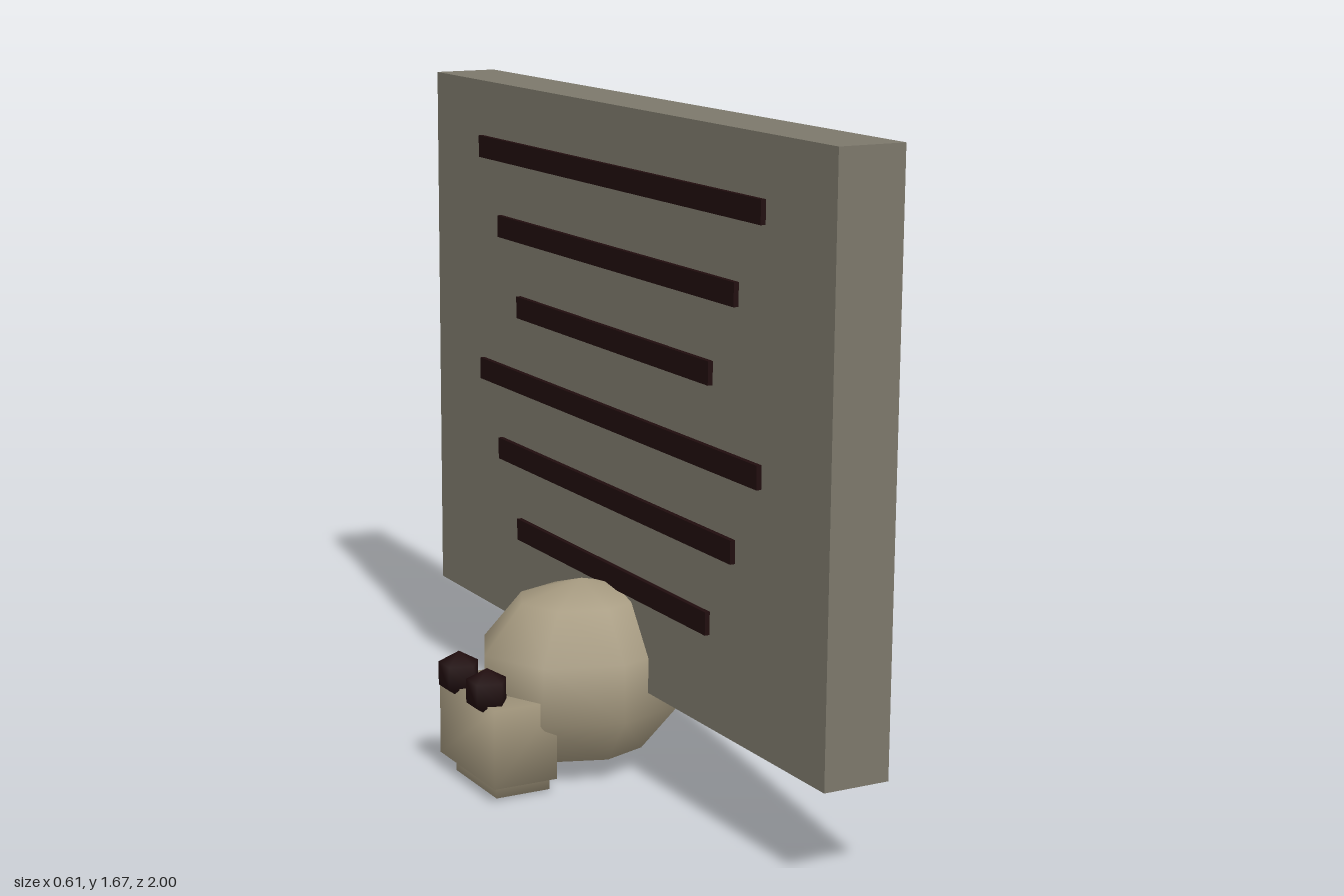
import * as THREE from 'three';
import { mergeVertices } from 'three/addons/utils/BufferGeometryUtils.js';

const shell = new THREE.MeshStandardMaterial({ name: 'tan', color: 0xa69a80 });
const slate = new THREE.MeshStandardMaterial({ name: 'greyBoard', color: 0x7c786b });
const ink = new THREE.MeshStandardMaterial({ name: 'darkBrown', color: 0x200c0d });

// Box whose corners share averaged normals, for a soft look
function softBox(w, h, d) {
  const g = new THREE.BoxGeometry(w, h, d);
  g.deleteAttribute('normal');
  g.deleteAttribute('uv');
  const merged = mergeVertices(g);
  merged.computeVertexNormals();
  return merged;
}

export function createModel() {
  const group = new THREE.Group();
  const add = (name, geometry, material, x, y, z) => {
    const mesh = new THREE.Mesh(geometry, material);
    mesh.name = name;
    mesh.position.set(x, y, z);
    group.add(mesh);
    return mesh;
  };

  // Round low-poly body
  const body = add('body', new THREE.SphereGeometry(1, 8, 5), shell, 0.035, 0.255, 0);
  body.scale.set(0.284, 0.24, 0.242);

  // Head block and the narrower jaw under it
  add('head', softBox(0.17, 0.2, 0.312), shell, -0.2, 0.14, 0);
  add('jaw', softBox(0.145, 0.1, 0.23), shell, -0.1875, 0.05, 0);

  // Eyes on the front edge of the head
  for (const side of [-1, 1]) {
    const eye = add(side > 0 ? 'eyeA' : 'eyeB', new THREE.SphereGeometry(0.06, 5, 3), ink, -0.267, 0.266, side * 0.08);
    eye.rotation.y = Math.PI;
  }

  // Large upright board
  add('board', new THREE.BoxGeometry(0.17, 1.43, 2), slate, 0.2, 0.955, 0);

  // Ruled lines, three lengths repeated twice
  const lengths = [0.99, 1.21, 1.43];
  for (let i = 0; i < 6; i++) {
    add('line' + (i + 1), new THREE.BoxGeometry(0.014, 0.057, lengths[i % 3]), ink, 0.109, 0.497 + i * 0.2, 0);
  }
  return group;
}
